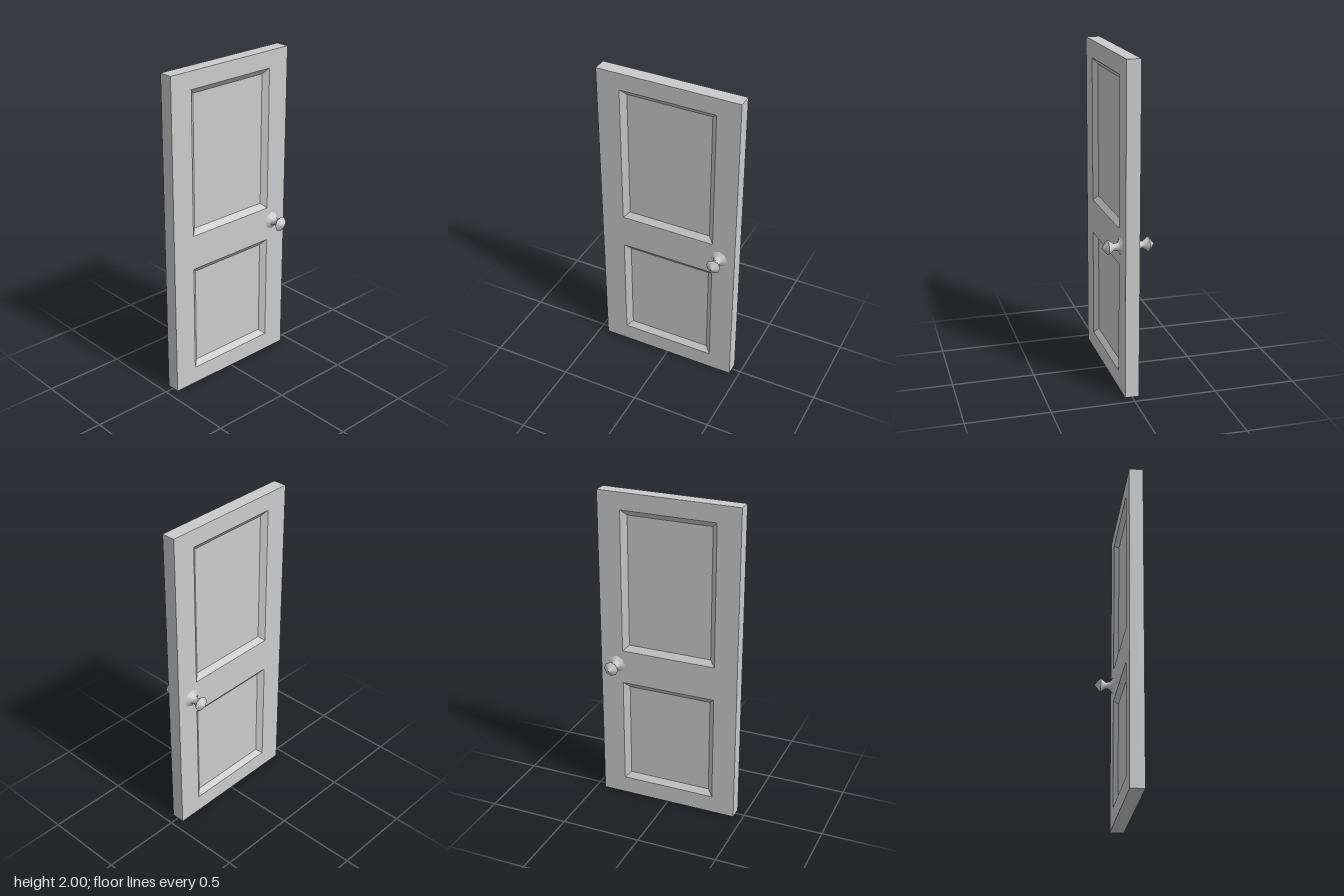
import * as THREE from 'three';
import { toCreasedNormals } from 'three/addons/utils/BufferGeometryUtils.js';

const HALF_T = 0.042;  // half the door thickness
const DEPTH = 0.027;   // panel recess
const BEVEL = 0.034;   // width of the sloping moulding
const DOOR = { x: 0.442, y0: 0, y1: 2 };
const PANELS = [
  { name: 'upper', x: 0.298, y0: 1.005, y1: 1.895 },
  { name: 'lower', x: 0.298, y0: 0.11, y1: 0.79 },
];

const material = new THREE.MeshStandardMaterial({ color: 0xcccccc });

function add(parent, name, geometry) {
  const mesh = new THREE.Mesh(geometry, material);
  mesh.name = name;
  parent.add(mesh);
  return mesh;
}

const inset = (r, d) => ({ x: r.x - d, y0: r.y0 + d, y1: r.y1 - d });

// Counter-clockwise corners of a rectangle centred on x = 0
const corners = (r) => [[-r.x, r.y0], [r.x, r.y0], [r.x, r.y1], [-r.x, r.y1]];

const outline = (r, Type) => new Type(corners(r).map(([x, y]) => new THREE.Vector2(x, y)));

// Four flat quads joining rectangle a at depth za to rectangle b at depth zb
function rectBand(a, za, b, zb) {
  const ca = corners(a), cb = corners(b), pos = [];
  for (let i = 0; i < 4; i++) {
    const j = (i + 1) % 4;
    const p = [...ca[i], za], q = [...ca[j], za], r = [...cb[j], zb], s = [...cb[i], zb];
    pos.push(...p, ...q, ...r, ...p, ...r, ...s);
  }
  const g = new THREE.BufferGeometry();
  g.setAttribute('position', new THREE.Float32BufferAttribute(pos, 3));
  g.computeVertexNormals();
  return g;
}

// One side of the door: flat frame, sloping mouldings and sunken panels
function doorSide(name) {
  const side = new THREE.Group();
  side.name = name;
  const shape = outline(DOOR, THREE.Shape);
  PANELS.forEach((p) => shape.holes.push(outline(p, THREE.Path)));
  add(side, 'frameFace', new THREE.ShapeGeometry(shape).translate(0, 0, HALF_T));
  for (const p of PANELS) {
    const field = inset(p, BEVEL);
    add(side, p.name + 'Moulding', rectBand(p, HALF_T, field, HALF_T - DEPTH));
    add(side, p.name + 'Panel', new THREE.ShapeGeometry(outline(field, THREE.Shape))
      .translate(0, 0, HALF_T - DEPTH));
  }
  return side;
}

// Eight-sided turned knob pointing along +z
function knobGeometry() {
  const profile = [[0.055, 0], [0.026, 0.018], [0.021, 0.044], [0.046, 0.079], [0, 0.114]]
    .map(([r, h]) => new THREE.Vector2(r, h));
  const g = new THREE.LatheGeometry(profile, 8).rotateX(Math.PI / 2);
  return toCreasedNormals(g, THREE.MathUtils.degToRad(48));
}

export function createModel() {
  const model = new THREE.Group();
  model.name = 'door';

  // Outer edges of the slab
  add(model, 'doorEdges', rectBand(DOOR, -HALF_T, DOOR, HALF_T));

  // Matching front and back
  const front = doorSide('frontSide');
  const back = doorSide('backSide');
  back.rotation.y = Math.PI;
  model.add(front, back);

  // A knob on each side
  const knob = knobGeometry();
  add(model, 'frontKnob', knob).position.set(0.34, 0.91, HALF_T);
  const rear = add(model, 'backKnob', knob);
  rear.position.set(0.34, 0.91, -HALF_T);
  rear.rotation.y = Math.PI;

  return model;
}
